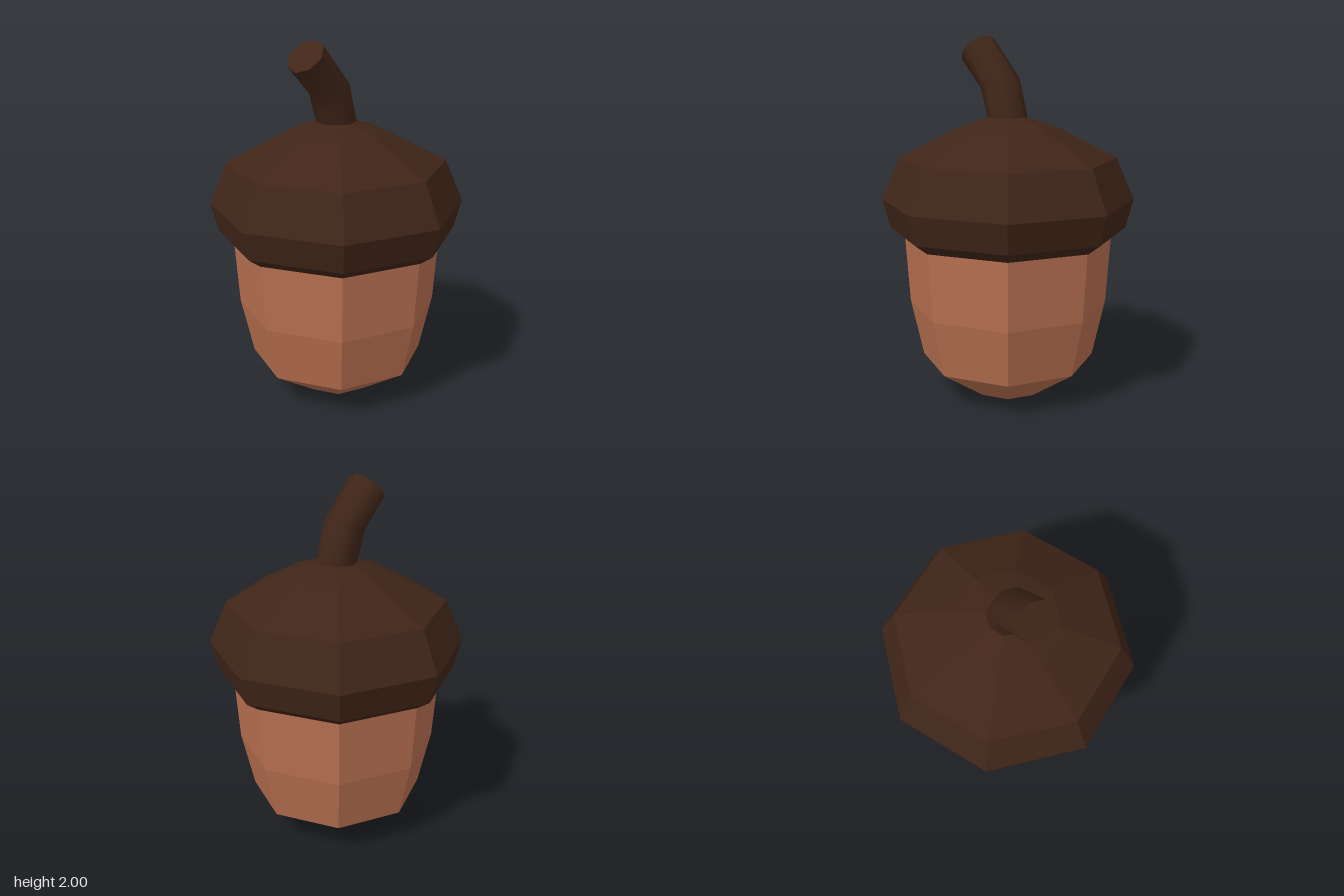
import * as THREE from 'three';
import { mergeVertices } from 'three/addons/utils/BufferGeometryUtils.js';

const SIDES = 8;

// Faceted turned part from [radius, height] pairs, listed bottom to top
function turned(name, profile, color) {
  const points = profile.map(([r, y]) => new THREE.Vector2(r, y));
  const material = new THREE.MeshStandardMaterial({ color, flatShading: true });
  const mesh = new THREE.Mesh(new THREE.LatheGeometry(points, SIDES), material);
  mesh.name = name;
  return mesh;
}

// Bent stem: a unit cylinder whose rings are moved onto tilted cross-sections
function bentStem(color) {
  // centre x, centre y, half-width vector x, half-width vector y; bottom to top
  const rings = [
    [0, 1.545, 0.11, 0],
    [-0.06, 1.74, 0.10, 0.04],
    [-0.235, 1.925, 0.075, 0.075],
  ];
  let geometry = new THREE.CylinderGeometry(1, 1, 2, SIDES, rings.length - 1);
  geometry.deleteAttribute('uv');
  geometry = mergeVertices(geometry); // close the seam, keep the end edges sharp
  const pos = geometry.attributes.position;
  for (let i = 0; i < pos.count; i++) {
    const [cx, cy, ux, uy] = rings[Math.round(pos.getY(i)) + 1];
    const x = pos.getX(i);
    pos.setXYZ(i, cx + x * ux, cy + x * uy, pos.getZ(i) * 0.11);
  }
  geometry.computeVertexNormals();
  const mesh = new THREE.Mesh(geometry, new THREE.MeshStandardMaterial({ color }));
  mesh.name = 'stem';
  return mesh;
}

export function createModel() {
  const group = new THREE.Group();
  group.name = 'acorn';
  const capColor = 0x402518;

  // Nut
  group.add(turned('nut', [
    [0, 0], [0.2, 0], [0.485, 0.197], [0.555, 0.515], [0.58, 0.9],
  ], 0xb87050));

  // Cap with an inward-sloping rim and a shallow dome
  group.add(turned('cap', [
    [0, 0.89], [0.585, 0.89], [0.66, 0.945], [0.7, 1.105],
    [0.6, 1.335], [0.28, 1.5], [0.11, 1.558], [0, 1.565],
  ], capColor));

  group.add(bentStem(capColor));
  return group;
}
